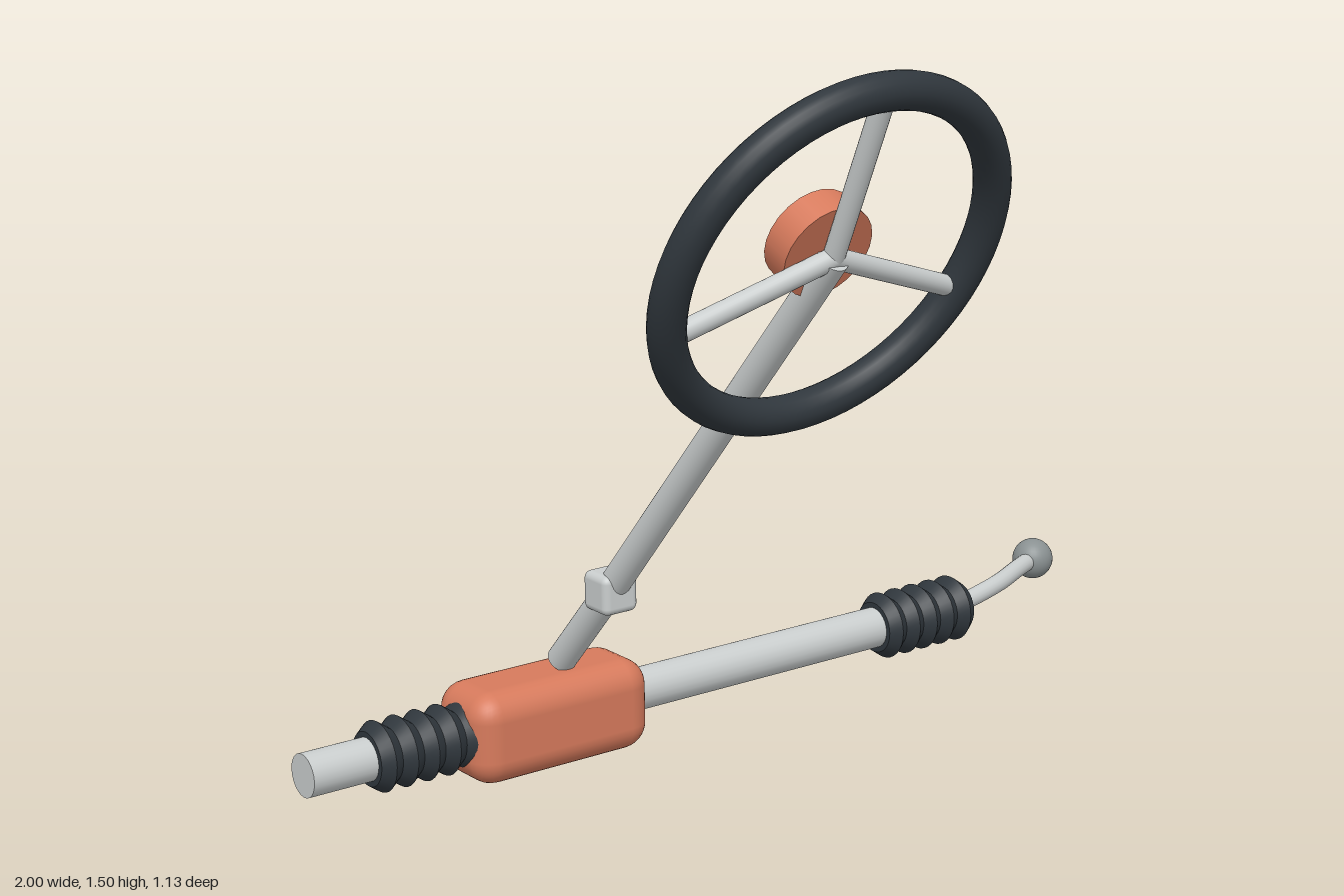
import * as THREE from 'three';
import { RoundedBoxGeometry } from 'three/addons/geometries/RoundedBoxGeometry.js';
import { toCreasedNormals } from 'three/addons/utils/BufferGeometryUtils.js';

const material = (name, color) => {
  const m = new THREE.MeshStandardMaterial({ color });
  m.name = name;
  return m;
};

export function createModel() {
  const steel = material('light steel', 0xc9cdcd);
  const darkSteel = material('dark steel', 0x8a9192);
  const rubber = material('black rubber', 0x30373d);
  const orange = material('orange housing', 0xd67a5c);

  const model = new THREE.Group();
  model.name = 'steeringAssembly';
  const v = (x, y, z) => new THREE.Vector3(x, y, z);

  const add = (parent, name, geometry, mat, position = v(0, 0, 0)) => {
    const mesh = new THREE.Mesh(geometry, mat);
    mesh.name = name;
    mesh.position.copy(position);
    parent.add(mesh);
    return mesh;
  };

  // Round bar between two points
  const bar = (parent, name, a, b, radius, mat) => {
    const dir = b.clone().sub(a);
    const geometry = new THREE.CylinderGeometry(radius, radius, dir.length(), 24);
    const mesh = add(parent, name, geometry, mat, a.clone().lerp(b, 0.5));
    mesh.quaternion.setFromUnitVectors(v(0, 1, 0), dir.normalize());
    return mesh;
  };

  const rackY = 0.097, rackZ = -0.42;

  // Rack tube and gear housing
  bar(model, 'rackTube', v(-1, rackY, rackZ), v(0.62, rackY, rackZ), 0.044, steel);
  add(model, 'gearHousing', new RoundedBoxGeometry(0.415, 0.19, 0.185, 4, 0.055), orange,
    v(-0.452, 0.095, rackZ));

  // Pleated boots at both ends of the rack
  const bellows = (name, x0, x1) => {
    const folds = 10;
    const length = x1 - x0;
    const profile = [new THREE.Vector2(0, -length / 2)];
    for (let i = 0; i <= folds; i++) {
      profile.push(new THREE.Vector2(i % 2 ? 0.072 : 0.055, length * (i / folds - 0.5)));
    }
    profile.push(new THREE.Vector2(0, length / 2));
    const geometry = toCreasedNormals(new THREE.LatheGeometry(profile, 32), 0.5);
    const mesh = add(model, name, geometry, rubber, v((x0 + x1) / 2, rackY, rackZ));
    mesh.rotation.z = -Math.PI / 2;
  };
  bellows('rightBoot', -0.86, -0.62);
  bellows('leftBoot', 0.4, 0.64);

  // Bent tie rod with ball end
  const rodPath = new THREE.CatmullRomCurve3([
    v(0.6, rackY, rackZ), v(0.66, 0.1, -0.425), v(0.78, 0.113, -0.447),
    v(0.88, 0.12, -0.488), v(0.954, 0.119, -0.523),
  ]);
  add(model, 'tieRod', new THREE.TubeGeometry(rodPath, 32, 0.02, 16), steel);
  add(model, 'tieRodBall', new THREE.SphereGeometry(0.046, 32, 20), darkSteel,
    v(0.954, 0.119, -0.523));

  // Column in two shafts meeting at a joint
  const wheelCentre = v(-0.35, 1.15, 0.385);
  const joint = v(-0.404, 0.39, -0.247);
  bar(model, 'upperShaft', joint, wheelCentre, 0.03, steel);
  bar(model, 'lowerShaft', v(-0.412, 0.205, -0.413), joint, 0.03, steel);
  add(model, 'columnJoint', new RoundedBoxGeometry(0.08, 0.08, 0.08, 3, 0.015), steel, joint);

  // Tilted wheel: rim, three spokes and hub
  const wheel = new THREE.Group();
  wheel.name = 'steeringWheel';
  wheel.position.copy(wheelCentre);
  wheel.rotation.x = THREE.MathUtils.degToRad(25);
  model.add(wheel);
  add(wheel, 'rim', new THREE.TorusGeometry(0.345, 0.035, 20, 72), rubber);
  for (const degrees of [90, 200, 340]) {
    const a = THREE.MathUtils.degToRad(degrees);
    bar(wheel, 'spoke', v(0, 0, 0), v(0.32 * Math.cos(a), 0.32 * Math.sin(a), 0), 0.02, steel);
  }
  bar(wheel, 'hub', v(0, 0, -0.078), v(0, 0, -0.016), 0.094, orange);

  return model;
}
